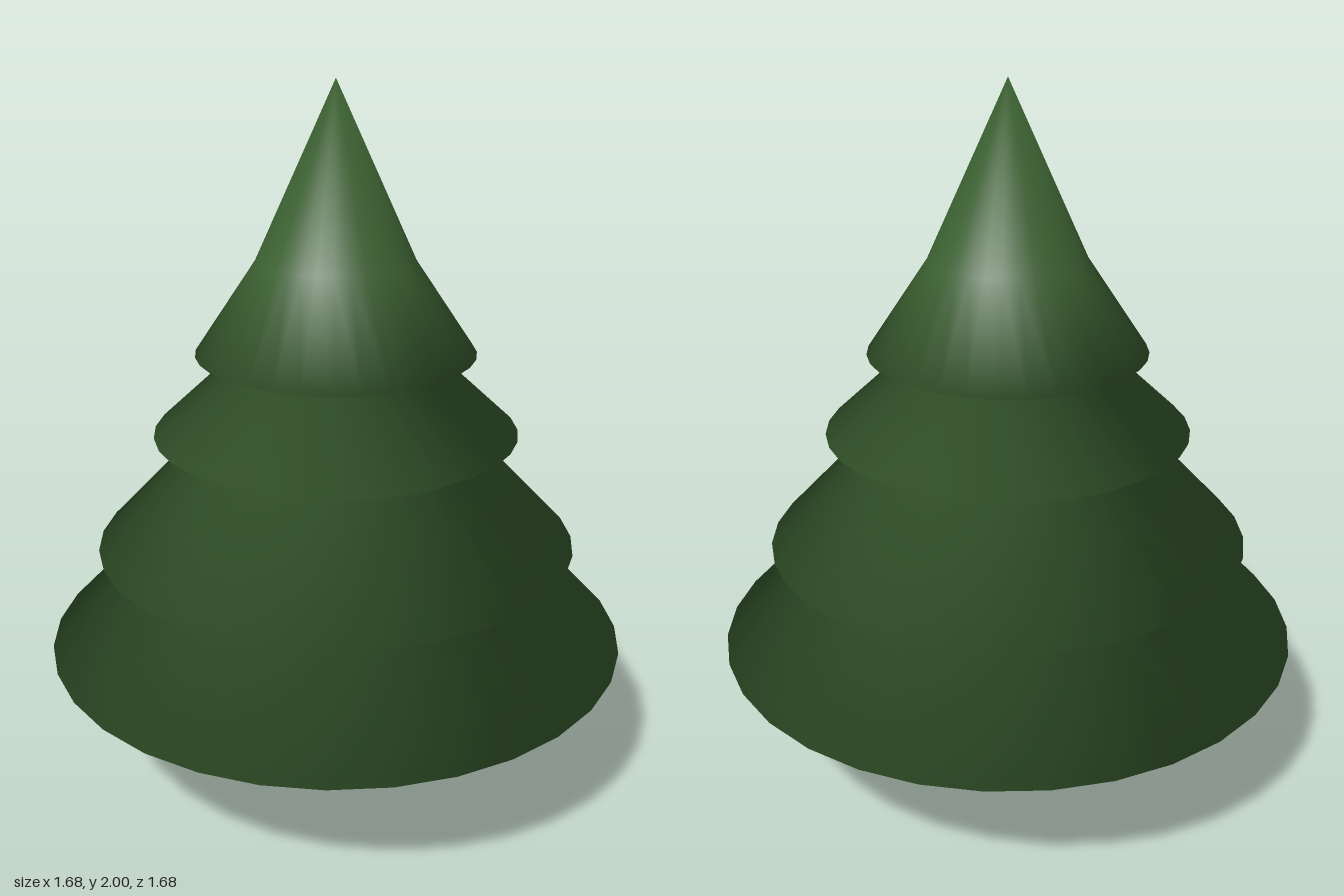
import * as THREE from 'three';

const SIDES = 32;

// Turns a [radius, height] profile (bottom to top) with soft normals that weigh
// both neighbouring profile edges equally, however long they are.
function softLathe(profile) {
  const points = profile.map(([r, y]) => new THREE.Vector2(r, y));
  const geometry = new THREE.LatheGeometry(points, SIDES);
  const edges = points.slice(1).map((p, i) =>
    new THREE.Vector2(p.y - points[i].y, points[i].x - p.x).normalize());
  const last = points.length - 1;
  const normals = points.map((p, i) => {
    if (i === 0) return new THREE.Vector2(0, -1);
    if (i === last) return new THREE.Vector2(0, 1);
    return edges[i - 1].clone().add(edges[i]).normalize();
  });
  const attribute = geometry.attributes.normal;
  for (let s = 0; s <= SIDES; s++) {
    const a = (s / SIDES) * Math.PI * 2;
    normals.forEach((n, i) =>
      attribute.setXYZ(s * points.length + i, n.x * Math.sin(a), n.y, n.x * Math.cos(a)));
  }
  return geometry;
}

export function createModel() {
  const tree = new THREE.Group();
  tree.name = 'pineTree';

  const bark = new THREE.MeshStandardMaterial({ color: 0x7d5838 });
  bark.name = 'barkBrown';
  const needles = new THREE.MeshStandardMaterial({ color: 0x3b6031 });
  needles.name = 'needleGreen';

  // Trunk, flaring towards the ground
  const trunk = new THREE.Mesh(
    softLathe([[0, 0], [0.24, 0], [0.208, 0.22], [0.2, 0.4], [0, 0.4]]), bark);
  trunk.name = 'trunk';

  // Four overlapping skirts of branches, closed underneath
  const foliage = new THREE.Mesh(softLathe([
    [0, 0.4], [0.84, 0.4],
    [0.58, 0.67], [0.69, 0.697],
    [0.423, 0.978], [0.518, 1.03],
    [0.312, 1.222], [0.394, 1.26],
    [0.222, 1.516], [0, 2],
  ]), needles);
  foliage.name = 'foliage';

  tree.add(trunk, foliage);
  return tree;
}
